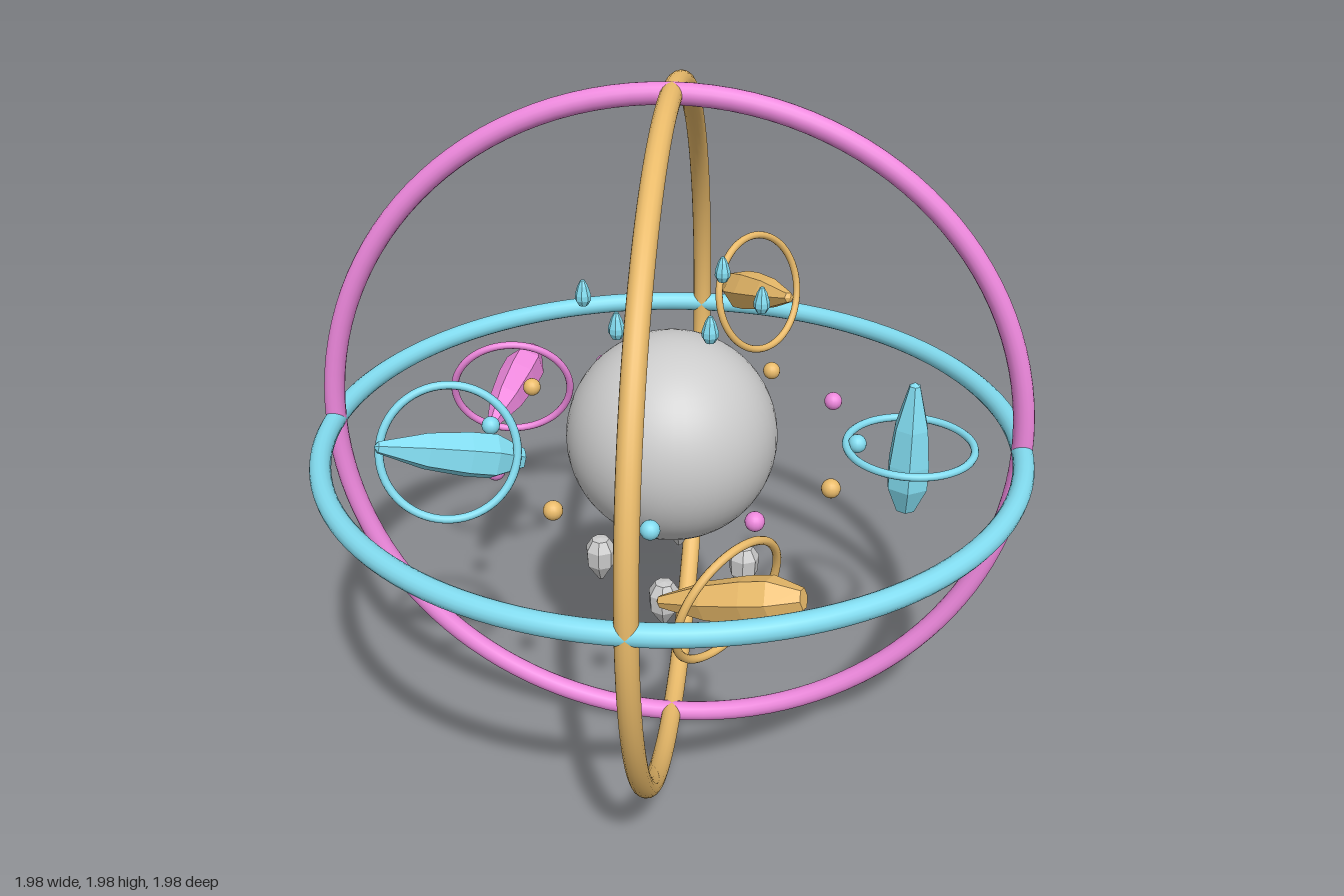
import * as THREE from 'three';

const CYAN = 0x82dcf0, PINK = 0xee88dd, GOLD = 0xeabb6a, GREY = 0xcccccc;
const mat = (color, flatShading = false) => new THREE.MeshStandardMaterial({ color, flatShading });
const UP = new THREE.Vector3(0, 1, 0), FRONT = new THREE.Vector3(0, 0, 1);

function add(parent, name, geometry, material, x = 0, y = 0, z = 0) {
  const mesh = new THREE.Mesh(geometry, material);
  mesh.name = name;
  mesh.position.set(x, y, z);
  parent.add(mesh);
  return mesh;
}

// turned shape from [radius, height] pairs, listed bottom to top
const turned = (points, sides) =>
  new THREE.LatheGeometry(points.map(([r, y]) => new THREE.Vector2(r, y)), sides);

export function createModel() {
  const model = new THREE.Group();
  model.name = 'orbitalSphere';

  // central sphere
  add(model, 'core', new THREE.SphereGeometry(0.295, 48, 32), mat(GREY), 0, 1, 0);

  // three large rings at right angles
  const bigRing = new THREE.TorusGeometry(0.963, 0.029, 16, 120);
  add(model, 'uprightRingAcross', bigRing, mat(PINK), 0, 1, 0);
  add(model, 'uprightRingLengthwise', bigRing, mat(GOLD), 0, 1, 0).rotation.y = Math.PI / 2;
  add(model, 'levelRing', bigRing, mat(CYAN), 0, 1, 0).rotation.x = Math.PI / 2;

  // five long crystals, each with its own tilted halo
  const crystal = turned([[0, -0.2], [0.028, -0.2], [0.062, -0.12], [0.062, -0.05],
    [0.05, 0.06], [0.016, 0.185], [0, 0.195]], 6);
  const halo = new THREE.TorusGeometry(0.176, 0.011, 10, 64);
  const orbiters = [ // colour, height, crystal tip direction, halo normal
    [CYAN, 1.0, [0, 1, 0], [0, 1, 0]],
    [GOLD, 0.88, [-0.36, -0.1, -0.1], [0.75, -0.22, 0.6]],
    [CYAN, 1.12, [-0.33, 0.1, 0.16], [0.28, 0.28, 0.92]],
    [PINK, 0.93, [-0.06, -0.08, 0.38], [0.17, -0.31, 0.94]],
    [GOLD, 1.18, [0.2, 0.1, 0.31], [0.76, 0.25, 0.6]],
  ];
  orbiters.forEach(([color, y, tip, normal], i) => {
    const a = (i / 5) * Math.PI * 2;
    const group = new THREE.Group();
    group.name = 'crystalWithHalo';
    group.position.set(0.66 * Math.cos(a), y, 0.66 * Math.sin(a));
    add(group, 'crystal', crystal, mat(color, true))
      .quaternion.setFromUnitVectors(UP, new THREE.Vector3(...tip).normalize());
    add(group, 'halo', halo, mat(color))
      .quaternion.setFromUnitVectors(FRONT, new THREE.Vector3(...normal).normalize());
    model.add(group);
  });

  // places count copies evenly on a level circle
  const circle = (name, count, radius, y, geometry, material) => {
    for (let i = 0; i < count; i++) {
      const a = (i / count) * Math.PI * 2;
      add(model, name, geometry, material(i), radius * Math.cos(a), y, radius * Math.sin(a));
    }
  };

  // beads around the middle
  const beadMats = [CYAN, GOLD, PINK].map((c) => mat(c));
  circle('bead', 12, 0.515, 1, new THREE.SphereGeometry(0.026, 16, 12), (i) => beadMats[i % 3]);

  // drops above the core
  const drop = turned([[0, -0.037], [0.013, -0.034], [0.022, -0.018], [0.022, -0.004],
    [0.014, 0.022], [0.006, 0.037], [0, 0.039]], 8);
  const dropMat = mat(CYAN, true);
  circle('drop', 6, 0.24, 1.415, drop, () => dropMat);

  // hanging crystals below the core, points down
  const pendant = turned([[0, -0.072], [0.008, -0.068], [0.042, -0.015], [0.045, 0.035],
    [0.026, 0.066], [0, 0.07]], 7);
  const pendantMat = mat(GREY, true);
  circle('pendant', 4, 0.21, 0.578, pendant, () => pendantMat);

  return model;
}
